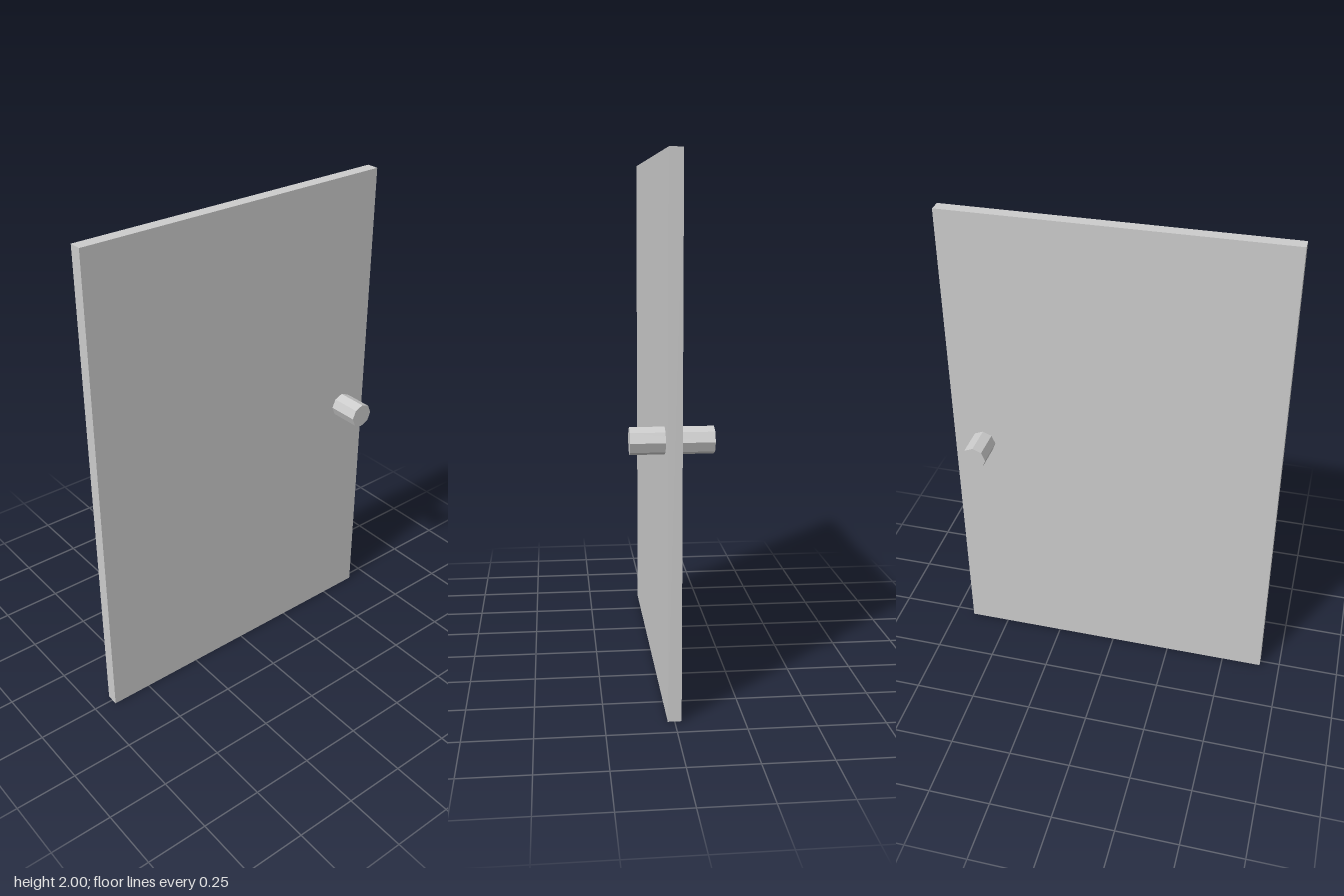
import * as THREE from 'three';

export function createModel() {
  const model = new THREE.Group();
  model.name = 'door';
  const material = new THREE.MeshStandardMaterial({ color: 0xcccccc, flatShading: true });

  // Flat door slab
  const panel = new THREE.Mesh(new THREE.BoxGeometry(1.333, 2, 0.05), material);
  panel.name = 'doorPanel';
  panel.position.y = 1;
  model.add(panel);

  // Octagonal handle passing through the slab, sticking out on both sides
  const handle = new THREE.Mesh(new THREE.CylinderGeometry(0.05, 0.05, 0.3, 8), material);
  handle.name = 'handle';
  handle.rotation.x = Math.PI / 2;
  handle.position.set(0.545, 1, 0);
  model.add(handle);

  return model;
}
